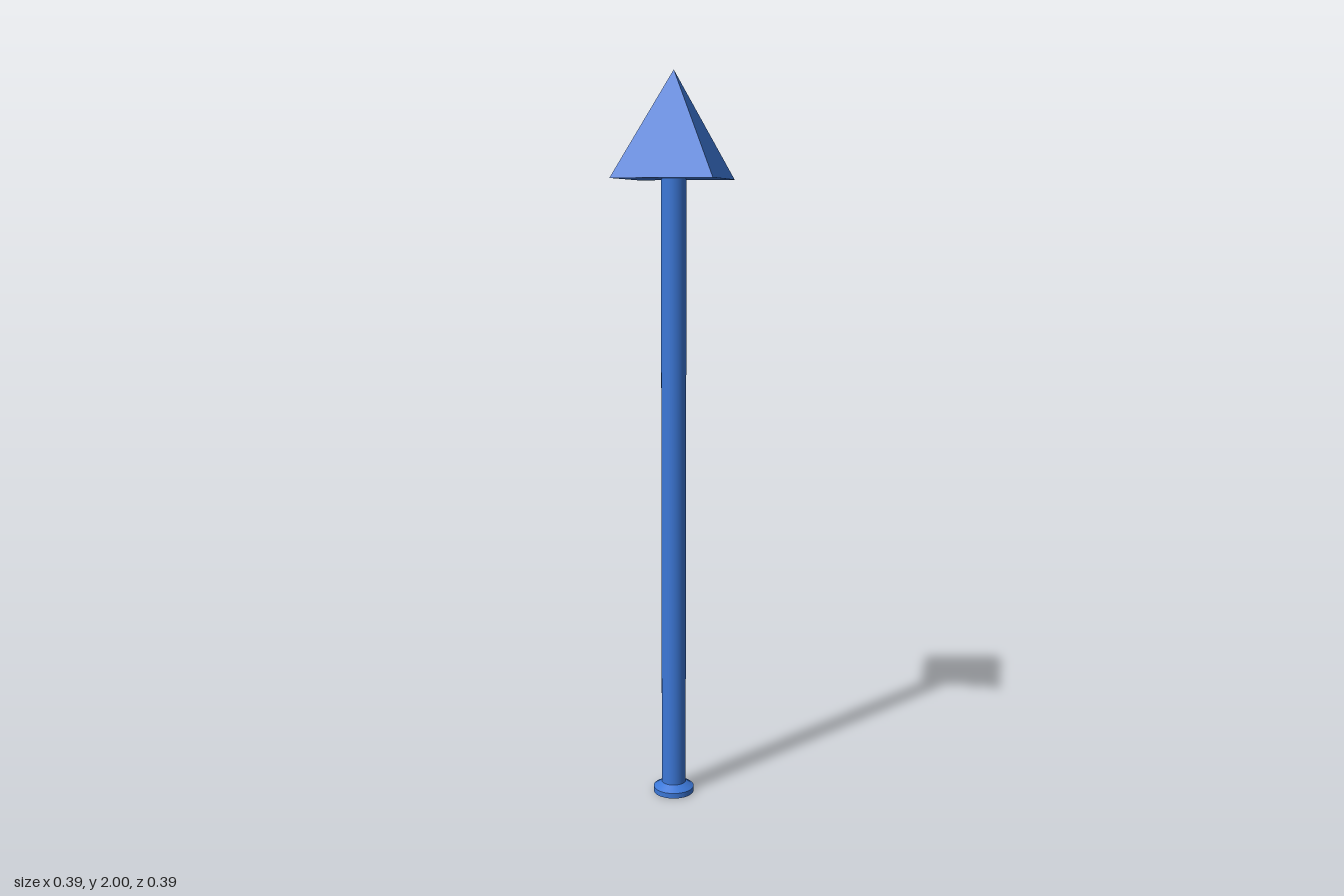
import * as THREE from 'three';

export function createModel() {
  const group = new THREE.Group();
  const smooth = new THREE.MeshStandardMaterial({ color: 0x3c78d8 });
  const faceted = new THREE.MeshStandardMaterial({ color: 0x3c78d8, flatShading: true });

  const add = (name, geometry, y, material) => {
    const mesh = new THREE.Mesh(geometry, material);
    mesh.name = name;
    mesh.position.y = y;
    group.add(mesh);
  };

  const shaftRadius = 0.034, footRadius = 0.057, headBase = 1.72, top = 2;

  // Foot: a thin disc with a bevelled collar up to the shaft
  add('footDisc', new THREE.CylinderGeometry(footRadius, footRadius, 0.015, 32), 0.0075, smooth);
  add('footCollar', new THREE.CylinderGeometry(shaftRadius, footRadius, 0.015, 32, 1, true), 0.0225, smooth);

  // Long round shaft, running from the foot to the underside of the head
  const shaftLength = headBase - 0.015;
  add('shaft', new THREE.CylinderGeometry(shaftRadius, shaftRadius, shaftLength, 32, 1, true), 0.015 + shaftLength / 2, smooth);

  // Four-sided pyramid head with its corners on the x and z axes
  const headHeight = top - headBase;
  add('arrowHead', new THREE.ConeGeometry(0.193, headHeight, 4), headBase + headHeight / 2, faceted);

  return group;
}
